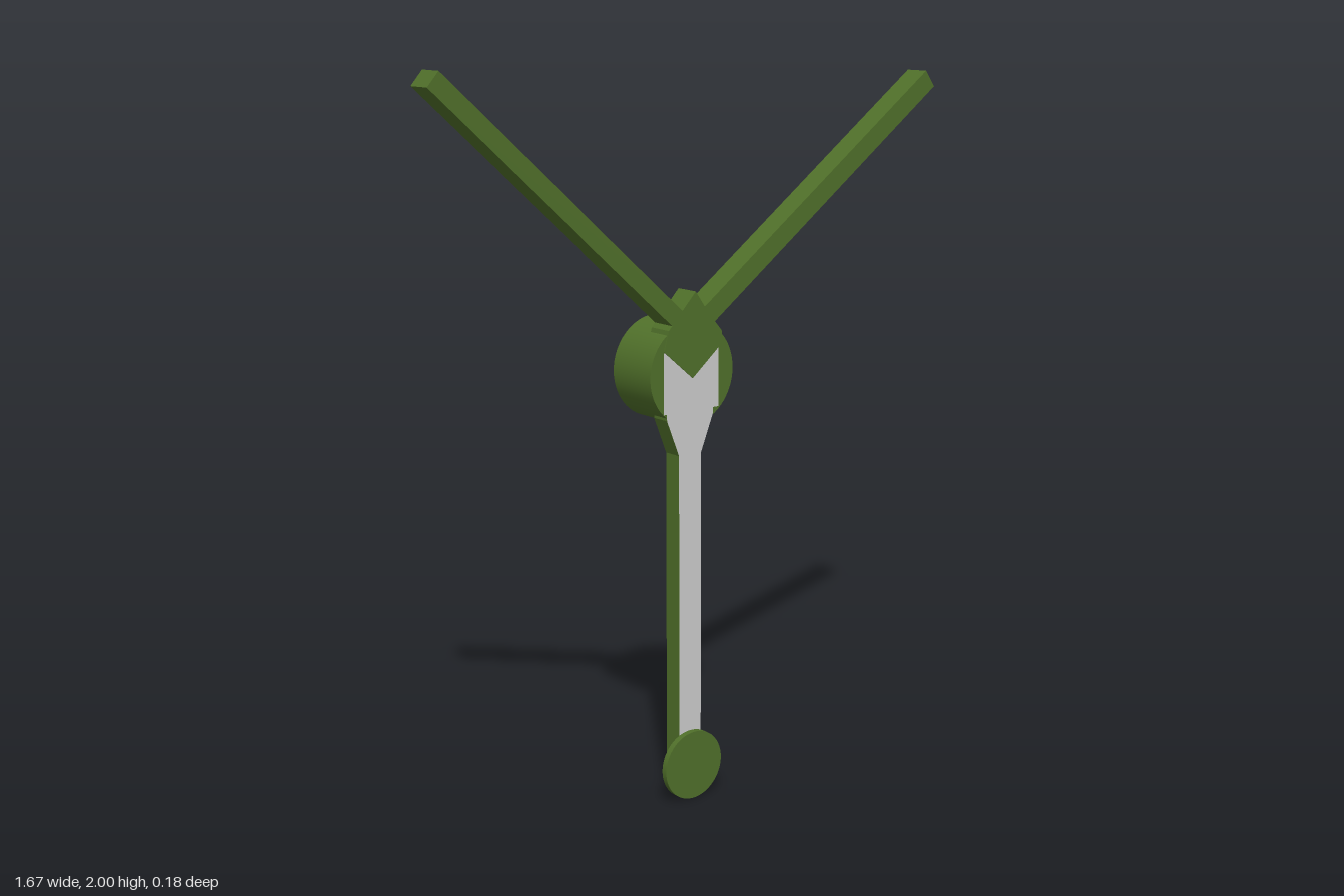
import * as THREE from 'three';

const green = new THREE.MeshStandardMaterial({ color: 0x50702a });
const grey = new THREE.MeshStandardMaterial({ color: 0xcccccc });

export function createModel() {
  const model = new THREE.Group();

  const add = (name, geometry, material) => {
    const mesh = new THREE.Mesh(geometry, material);
    mesh.name = name;
    model.add(mesh);
    return mesh;
  };
  const outline = (points) => new THREE.Shape(points.map(([x, y]) => new THREE.Vector2(x, y)));
  // Flat slab cut from an outline, running from z0 to z1
  const slab = (name, points, z0, z1) => {
    const geometry = new THREE.ExtrudeGeometry(outline(points), { depth: z1 - z0, bevelEnabled: false });
    geometry.translate(0, 0, z0);
    return add(name, geometry, green);
  };
  // Round drum with its axis along z
  const drum = (name, x, y, radius, z0, z1) => {
    const geometry = new THREE.CylinderGeometry(radius, radius, z1 - z0, 64);
    geometry.rotateX(Math.PI / 2);
    geometry.translate(x, y, (z0 + z1) / 2);
    return add(name, geometry, green);
  };

  // Round hub with a square grey inlay at each end
  drum('hub', -0.04, 1.187, 0.139, -0.089, 0.069);
  [['hubFrontInlay', 0.07, 0], ['hubBackInlay', -0.09, Math.PI]].forEach(([name, z, turn]) => {
    const inlay = add(name, new THREE.PlaneGeometry(0.185, 0.165), grey);
    inlay.position.set(-0.043, 1.17, z);
    inlay.rotation.y = turn;
  });

  // Two slanting arms: tip centre, root centre, width
  const arms = [
    ['rightArm', [-0.818, 1.982], [-0.06, 1.312], 0.05],
    ['leftArm', [0.815, 1.923], [-0.02, 1.313], 0.055],
  ];
  for (const [name, tip, root, width] of arms) {
    const dx = tip[0] - root[0], dy = tip[1] - root[1];
    const arm = add(name, new THREE.BoxGeometry(Math.hypot(dx, dy), width, 0.072), green);
    arm.position.set((tip[0] + root[0]) / 2, (tip[1] + root[1]) / 2, 0.036);
    arm.rotation.z = Math.atan2(dy, dx);
  }

  // Pointed joint where the arms meet
  slab('armJoint', [
    [-0.04, 1.175], [0.05, 1.25], [0.06, 1.29], [0.03, 1.325], [0.002, 1.36],
    [-0.03, 1.405], [-0.075, 1.358], [-0.12, 1.31], [-0.135, 1.255],
  ], 0, 0.072);

  // Long leg flaring into the hub, with a grey front face
  const legPoints = [
    [-0.085, 0.05], [-0.01, 0.05], [-0.01, 0.97], [0.03, 1.07],
    [0.03, 1.09], [-0.125, 1.09], [-0.125, 1.07], [-0.085, 0.97],
  ];
  slab('leg', legPoints, 0.015, 0.069);
  add('legFront', new THREE.ShapeGeometry(outline(legPoints)), grey).position.z = 0.07;

  // Round disc at the foot with a grey back
  drum('footDisc', -0.05, 0.097, 0.096, 0.073, 0.09);
  const footBack = add('footDiscBack', new THREE.CircleGeometry(0.096, 64), grey);
  footBack.position.set(-0.05, 0.097, 0.072);
  footBack.rotation.y = Math.PI;

  return model;
}
